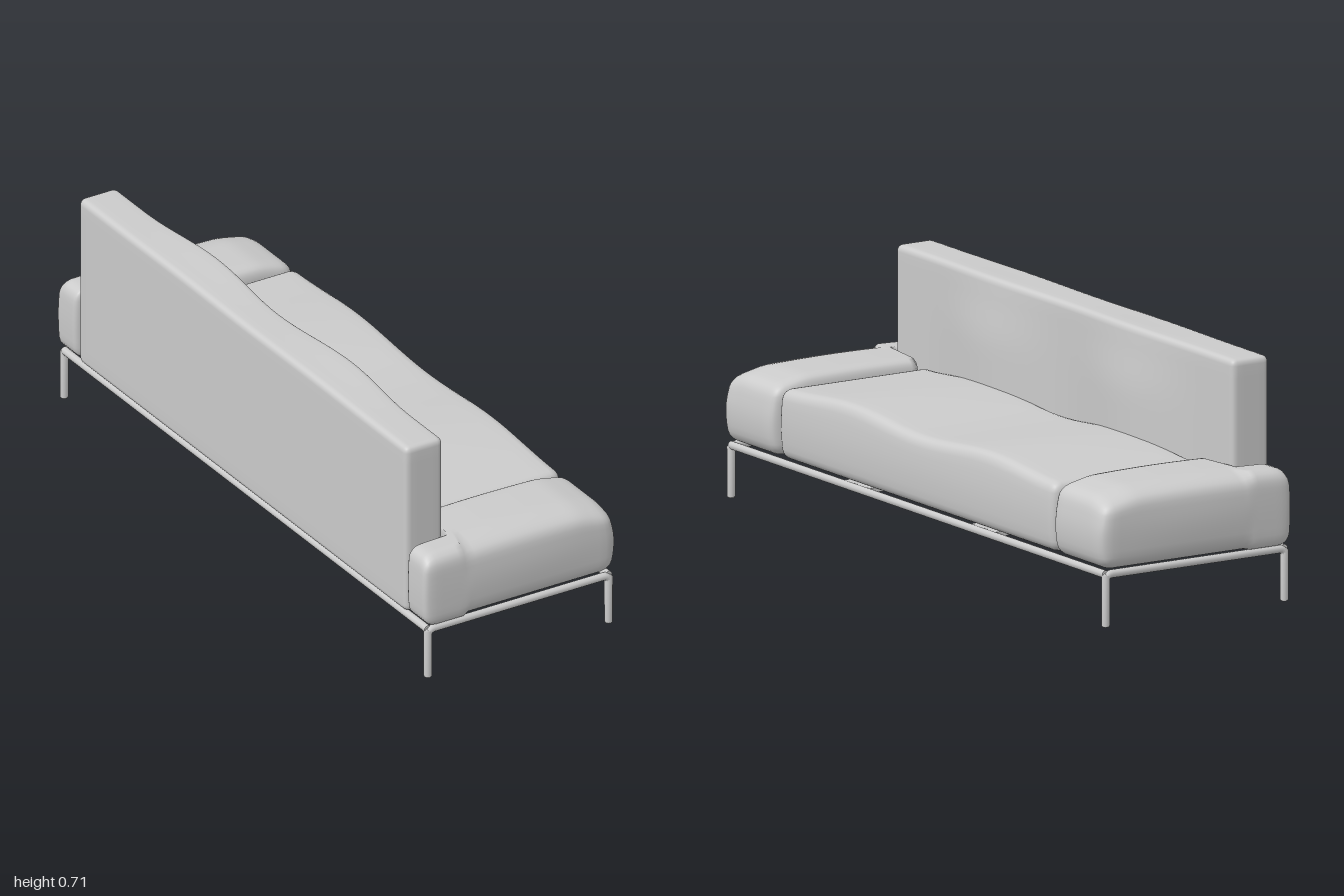
import * as THREE from 'three';
import { mergeVertices } from 'three/addons/utils/BufferGeometryUtils.js';

const material = new THREE.MeshStandardMaterial({ color: 0xcccccc });
const ROUND = 3; // grid cells spent on each rounded edge

// Maps an even grid coordinate (0..n) to a length whose outer cells cover the rounding
function gridToLength(t, n, size, r) {
  const i = Math.round(t * n);
  if (i <= ROUND) return -size / 2 + r * (1 - Math.cos((i / ROUND) * Math.PI / 2)) * 0.5 + r * (i / ROUND) * 0.5;
  if (i >= n - ROUND) return -gridToLength(1 - t, n, size, r);
  return -size / 2 + r + (size - 2 * r) * (i - ROUND) / (n - 2 * ROUND);
}

// Soft rounded block between two corners; reshape(p) moves each finished point
function cushion(name, min, max, r, segments, reshape) {
  const size = max.map((m, k) => m - min[k]);
  let geo = new THREE.BoxGeometry(1, 1, 1, ...segments);
  geo.deleteAttribute('normal');
  geo.deleteAttribute('uv');
  const pos = geo.attributes.position;
  const p = new THREE.Vector3(), core = new THREE.Vector3();
  for (let i = 0; i < pos.count; i++) {
    const q = [pos.getX(i), pos.getY(i), pos.getZ(i)]
      .map((v, k) => gridToLength(v + 0.5, segments[k], size[k], r));
    const c = q.map((v, k) => THREE.MathUtils.clamp(v, -size[k] / 2 + r, size[k] / 2 - r));
    p.fromArray(q);
    core.fromArray(c);
    p.sub(core).setLength(r).add(core);
    p.set(p.x + (min[0] + max[0]) / 2, p.y + (min[1] + max[1]) / 2, p.z + (min[2] + max[2]) / 2);
    reshape(p);
    pos.setXYZ(i, p.x, p.y, p.z);
  }
  geo = mergeVertices(geo, 1e-5);
  geo.computeVertexNormals();
  const mesh = new THREE.Mesh(geo, material);
  mesh.name = name;
  return mesh;
}

// Two soft humps along the length, with a dip in the middle and none at the ends
const humps = (z, half) => Math.abs(z) < half ? Math.sin(Math.PI * z / half) ** 2 : 0;
const ramp = (v, a, b) => THREE.MathUtils.smoothstep(v, a, b);

function tube(name, points, radius, segments) {
  const path = new THREE.CurvePath();
  points.forEach((c) => path.add(c));
  const mesh = new THREE.Mesh(new THREE.TubeGeometry(path, segments, radius, 10), material);
  mesh.name = name;
  return mesh;
}

export function createModel() {
  const sofa = new THREE.Group();
  sofa.name = 'sofa';

  // Seat with two humped places
  sofa.add(cushion('seat', [-0.2, 0.165, -0.72], [0.305, 0.372, 0.72], 0.032, [18, 12, 44], (p) => {
    const up = ramp(p.y, 0.2, 0.37);
    const across = 0.65 + 0.35 * Math.cos((p.x - 0.05) * 4);
    p.y += up * across * 0.024 * humps(p.z, 0.72);
    p.x += 0.008 * ramp(p.x, 0.2, 0.3) * Math.sin(Math.PI * THREE.MathUtils.clamp((p.y - 0.165) / 0.21, 0, 1));
  }));

  // Backrest, padded towards the seat
  sofa.add(cushion('backrest', [-0.323, 0.165, -0.882], [-0.195, 0.7, 0.882], 0.02, [10, 20, 48], (p) => {
    const front = ramp(p.x, -0.3, -0.2), h = humps(p.z, 0.72);
    const fall = 1 - 0.45 * ramp(p.y, 0.5, 0.7);
    p.x += front * h * 0.038 * fall;
    p.y += 0.007 * h * ramp(p.y, 0.6, 0.7) * (0.3 + 0.7 * front);
  }));

  // Arm blocks, each cut back behind to pass the end of the backrest
  for (const side of [1, -1]) {
    const min = [-0.322, 0.165, side > 0 ? 0.728 : -0.99];
    const max = [0.308, 0.388, side > 0 ? 0.99 : -0.728];
    sofa.add(cushion(side > 0 ? 'leftArm' : 'rightArm', min, max, 0.036, [36, 14, 16], (p) => {
      const outer = Math.abs(p.z);
      const h = THREE.MathUtils.clamp((p.y - 0.165) / 0.22, 0, 1);
      const along = (p.x + 0.32) / 0.63;
      const middle = Math.sin(Math.PI * THREE.MathUtils.clamp(along, 0, 1));
      let z = outer + 0.01 * ramp(outer, 0.9, 0.99) * Math.sin(Math.PI * h) * (0.4 + 0.6 * middle);
      if (p.x < -0.19) z = 0.887 + (z - 0.728) * (0.994 - 0.887) / (0.99 - 0.728);
      const top = ramp(p.y, 0.25, 0.385);
      p.y += top * (0.008 * middle - 0.016 * ramp(along, 0.8, 1) - 0.016 * ramp(outer, 0.9, 0.99));
      p.x += ramp(along, 0.85, 1) * 0.017 * Math.sin(Math.PI * Math.pow(h, 0.8));
      p.x -= ramp(-along, -0.1, 0) * 0.005 * Math.sin(Math.PI * h);
      p.z = side * z;
    }));
  }

  // Metal frame: bent end hoops with legs, long rails and cross slats
  const frame = new THREE.Group();
  frame.name = 'frame';
  sofa.add(frame);
  const back = -0.309, front = 0.3, railY = 0.154, bend = 0.02, R = 0.012, endZ = 0.978;
  const v = (x, y, z) => new THREE.Vector3(x, y, z);
  for (const side of [1, -1]) {
    const z = side * endZ;
    frame.add(tube(side > 0 ? 'leftEndRail' : 'rightEndRail', [
      new THREE.QuadraticBezierCurve3(v(back, railY - bend, z), v(back, railY, z), v(back + bend, railY, z)),
      new THREE.LineCurve3(v(back + bend, railY, z), v(front - bend, railY, z)),
      new THREE.QuadraticBezierCurve3(v(front - bend, railY, z), v(front, railY, z), v(front, railY - bend, z)),
    ], R, 80));
    for (const x of [back, front]) {
      const leg = new THREE.Mesh(new THREE.LatheGeometry([
        new THREE.Vector2(0, 0), new THREE.Vector2(0.009, 0), new THREE.Vector2(0.012, 0.004),
        new THREE.Vector2(0.0125, railY - 0.004), new THREE.Vector2(0, railY + 0.006),
      ], 12), material);
      leg.name = 'leg';
      leg.position.set(x, 0, z);
      frame.add(leg);
    }
    const slat = new THREE.Mesh(new THREE.BoxGeometry(front - back, 0.014, 0.13), material);
    slat.name = 'crossSlat';
    slat.position.set((front + back) / 2, 0.157, side * 0.33);
    frame.add(slat);
  }
  for (const x of [back, front]) {
    const rail = new THREE.Mesh(new THREE.CylinderGeometry(R, R, endZ * 2, 10), material);
    rail.name = x > 0 ? 'frontRail' : 'backRail';
    rail.rotation.x = Math.PI / 2;
    rail.position.set(x, railY, 0);
    frame.add(rail);
  }
  return sofa;
}
